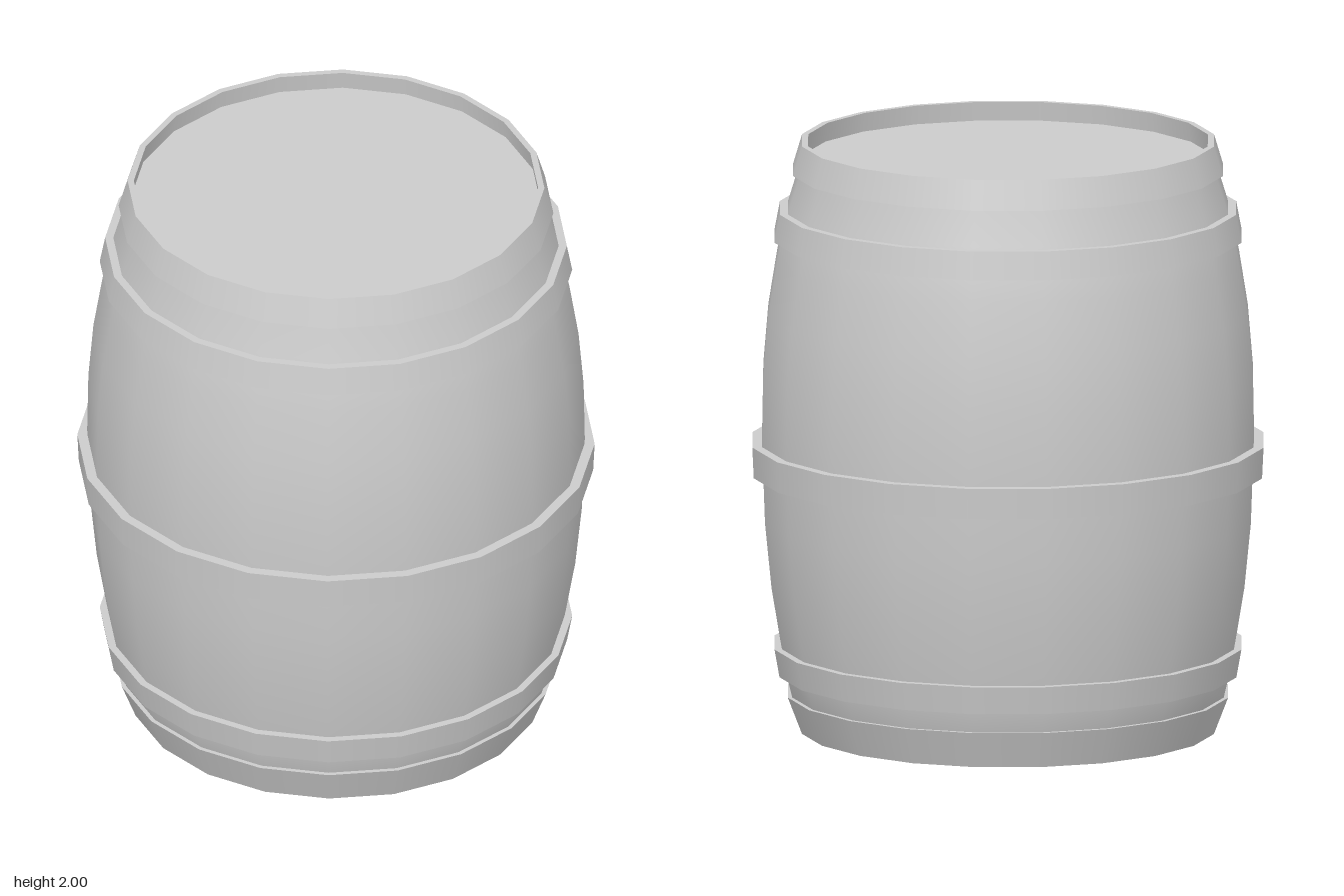
import * as THREE from 'three';
import { mergeGeometries } from 'three/addons/utils/BufferGeometryUtils.js';

const SIDES = 20;

// Lathes each run of [radius, height] points separately, so the corners between runs stay sharp.
function ring(name, runs) {
  const parts = runs.map(run =>
    new THREE.LatheGeometry(run.map(([r, y]) => new THREE.Vector2(r, y)), SIDES));
  const mesh = new THREE.Mesh(mergeGeometries(parts),
    new THREE.MeshStandardMaterial({ color: 0xcccccc }));
  mesh.name = name;
  return mesh;
}

// Metal band: tapered outer face with flat top and bottom edges.
function hoop(name, y0, r0, y1, r1, thickness = 0.06) {
  const a = [r0, y0], b = [r1, y1];
  const c = [r1 - thickness, y1], d = [r0 - thickness, y0];
  return ring(name, [[d, a], [a, b], [b, c]]);
}

export function createModel() {
  const barrel = new THREE.Group();
  barrel.name = 'barrel';

  // Bulging staves
  const profile = [
    [0.685, 0], [0.73, 0.125], [0.748, 0.2], [0.77, 0.32], [0.8, 0.5], [0.822, 0.72],
    [0.832, 1], [0.828, 1.22], [0.811, 1.42], [0.782, 1.6], [0.765, 1.69],
    [0.742, 1.78], [0.705, 1.9], [0.685, 2],
  ];
  barrel.add(ring('staves', [profile]));

  // Rims and recessed lids at both ends
  const depth = 0.065, inner = 0.676, recessed = 0.685;
  barrel.add(ring('topRim', [
    [[0.697, 2], [inner, 2]],
    [[inner, 2], [recessed, 2 - depth]],
  ]));
  barrel.add(ring('topLid', [[[recessed, 2 - depth], [0, 2 - depth]]]));
  barrel.add(ring('bottomRim', [
    [[recessed, depth], [inner, 0]],
    [[inner, 0], [0.697, 0]],
  ]));
  barrel.add(ring('bottomLid', [[[0, depth], [recessed, depth]]]));

  // Hoops from the bottom up
  barrel.add(
    hoop('bottomHoop', 0, 0.697, 0.125, 0.745, 0.02),
    hoop('lowerHoop', 0.195, 0.773, 0.29, 0.79),
    hoop('middleHoop', 0.875, 0.86, 0.98, 0.865),
    hoop('upperHoop', 1.675, 0.79, 1.77, 0.772),
    hoop('topHoop', 1.9, 0.727, 2, 0.697, 0.02),
  );
  return barrel;
}
